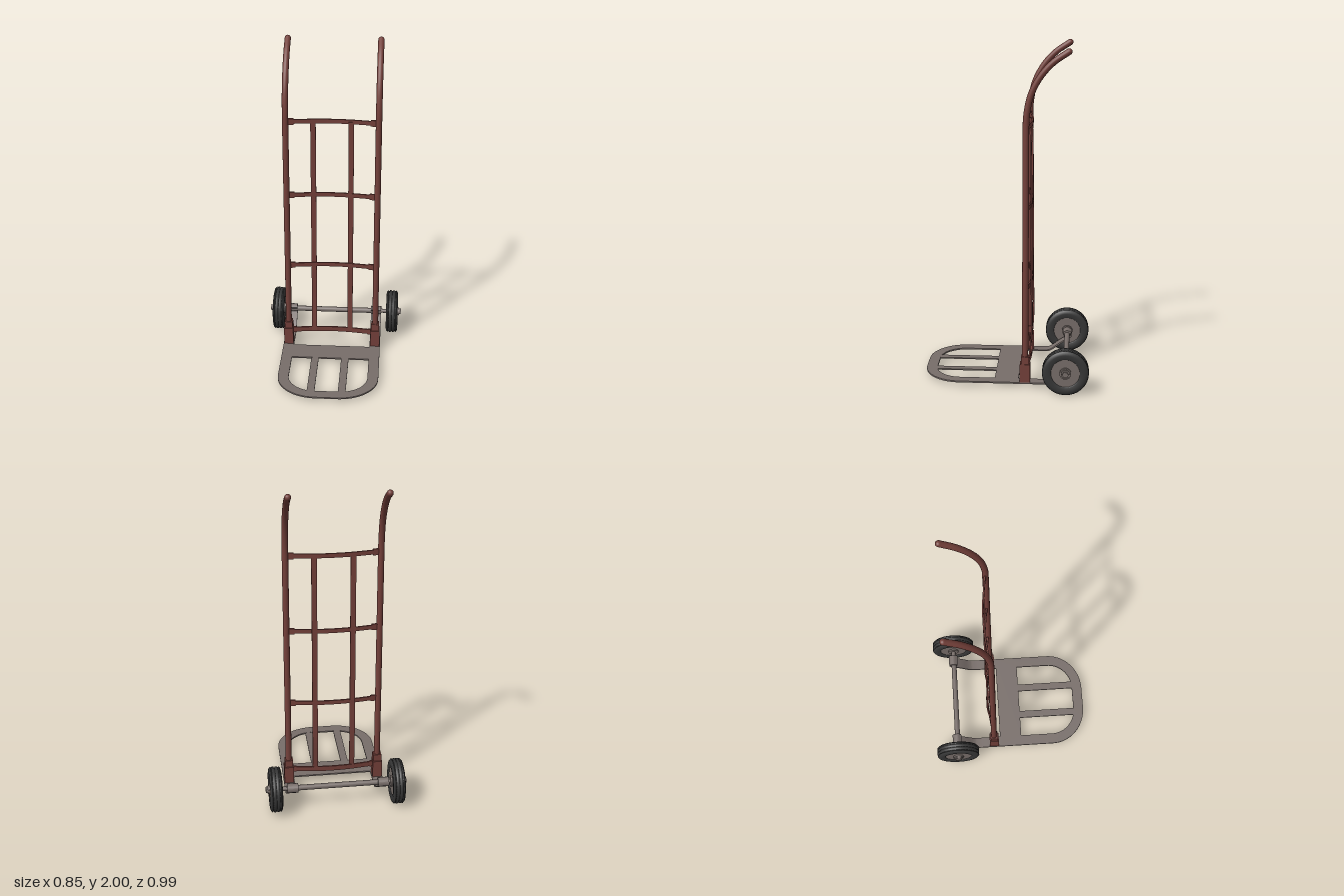
import * as THREE from 'three';

const paint = new THREE.MeshStandardMaterial({ name: 'red brown paint', color: 0x74403a });
const steel = new THREE.MeshStandardMaterial({ name: 'worn steel', color: 0x786e6a });
const rubber = new THREE.MeshStandardMaterial({ name: 'black rubber', color: 0x363636 });

const AXLE_Y = 0.137, AXLE_Z = -0.36, POST_X = 0.275, POST_Z = -0.12;
const UP = 'up', ACROSS = 'across';

function add(parent, name, geometry, material, x = 0, y = 0, z = 0) {
  const mesh = new THREE.Mesh(geometry, material);
  mesh.name = name;
  mesh.position.set(x, y, z);
  parent.add(mesh);
  return mesh;
}

// Extrudes a shape and lays it flat (shape = x, -z) or on edge (shape = z, y)
function slab(shape, depth, direction) {
  const g = new THREE.ExtrudeGeometry(shape, { depth, bevelEnabled: false, curveSegments: 10 });
  g.translate(0, 0, -depth / 2);
  return direction === UP ? g.rotateX(-Math.PI / 2) : g.rotateY(-Math.PI / 2);
}

// Bent flat strip that follows a smooth line through the given points
function strip(points, thickness, width, direction, segments = 24) {
  const curve = new THREE.SplineCurve(points.map(([a, b]) => new THREE.Vector2(a, b)));
  const one = [], two = [];
  for (let i = 0; i <= segments; i++) {
    const p = curve.getPoint(i / segments), t = curve.getTangent(i / segments);
    const n = new THREE.Vector2(-t.y, t.x).multiplyScalar(thickness / 2);
    one.push(p.clone().add(n));
    two.unshift(p.clone().sub(n));
  }
  return slab(new THREE.Shape([...one, ...two]), width, direction);
}

// Cylinder lying along x
function rod(radius, length, sides = 24) {
  return new THREE.CylinderGeometry(radius, radius, length, sides).rotateZ(Math.PI / 2);
}

// Adds one side of a rounded U outline
function roundedU(path, half, front, back, rx, rz) {
  path.moveTo(-half, -back);
  path.lineTo(-half, -(front - rz));
  path.absellipse(-half + rx, -(front - rz), rx, rz, Math.PI, Math.PI * 1.5, false);
  path.lineTo(half - rx, -front);
  path.absellipse(half - rx, -(front - rz), rx, rz, Math.PI * 1.5, Math.PI * 2, false);
  path.lineTo(half, -back);
  path.closePath();
  return path;
}

function buildToePlate() {
  const plate = new THREE.Group();
  plate.name = 'toePlate';
  const y = 0.029, t = 0.009;
  // U-shaped rim: the opening and the wide rear plate together
  const rim = roundedU(new THREE.Shape(), 0.3075, 0.49, -0.08, 0.24, 0.22);
  rim.holes.push(roundedU(new THREE.Path(), 0.2415, 0.425, 0.062, 0.165, 0.155));
  add(plate, 'plateRim', slab(rim, t, UP), steel, 0, y, 0);
  for (const x of [-0.095, 0.0925])
    add(plate, 'plateSlat', new THREE.BoxGeometry(0.046, t - 0.001, 0.39), steel, x, y, 0.243);
  // Arms running back and bending up around the axle
  const arm = [[-0.07, y], [-0.15, y], [-0.225, y], [-0.26, 0.038], [-0.31, 0.075],
    [-0.365, 0.112], [-0.386, 0.13], [-0.383, 0.152], [-0.36, 0.162], [-0.337, 0.15]];
  for (const s of [-1, 1]) {
    add(plate, 'axleArm', strip(arm, t, 0.066, ACROSS, 48), steel, s * 0.2745);
    add(plate, 'axleSleeve', rod(0.021, 0.06), steel, s * 0.2745, AXLE_Y, AXLE_Z);
  }
  return plate;
}

function buildFrame() {
  const frame = new THREE.Group();
  frame.name = 'frame';
  const line = [[0.035, -0.12], [0.6, -0.12], [1.2, -0.12], [1.5, -0.12], [1.62, -0.123],
    [1.74, -0.148], [1.84, -0.2], [1.92, -0.272], [1.979, -0.358]];
  const curve = new THREE.CatmullRomCurve3(line.map(([y, z]) => new THREE.Vector3(0, y, z)));
  const postGeometry = new THREE.TubeGeometry(curve, 80, 0.0185, 16);
  const capGeometry = new THREE.SphereGeometry(0.0185, 16, 10);

  for (const s of [-1, 1]) {
    const x = s * POST_X;
    add(frame, 'post', postGeometry, paint, x);
    add(frame, 'handleEnd', capGeometry, paint, x, 1.979, -0.358);
    // Socket with a taller collar at the foot of the post
    add(frame, 'socket', new THREE.BoxGeometry(0.058, 0.115, 0.06), paint, x, 0.087, POST_Z);
    add(frame, 'socketCollar', new THREE.BoxGeometry(0.05, 0.05, 0.046), paint, x, 0.165, POST_Z);
  }

  // Bowed cross bars with flattened ends
  const bow = [[-0.27, 0.122], [-0.11, 0.142], [0, 0.147], [0.11, 0.142], [0.27, 0.122]];
  for (const [y, h] of [[0.12, 0.032], [0.59, 0.026], [1.07, 0.026], [1.545, 0.026]]) {
    add(frame, 'crossBar', strip(bow, 0.009, h, UP), paint, 0, y, 0);
    for (const s of [-1, 1]) {
      const tab = add(frame, 'crossBarEnd', new THREE.BoxGeometry(0.038, 0.038, 0.011), paint,
        s * 0.246, y, -0.125);
      tab.rotation.y = s * -0.12;
    }
  }

  // Upright straps, slightly wavy
  const wave = [[-0.138, 0.11], [-0.152, 0.3], [-0.152, 0.45], [-0.148, 0.59], [-0.148, 0.83],
    [-0.146, 1.07], [-0.144, 1.3], [-0.138, 1.545]];
  for (const s of [-1, 1])
    add(frame, 'uprightStrap', strip(wave, 0.009, 0.032, ACROSS, 32), paint, s * 0.113);
  return frame;
}

function buildWheel(side) {
  const wheel = new THREE.Group();
  wheel.name = side > 0 ? 'leftWheel' : 'rightWheel';
  wheel.position.set(side * 0.3675, AXLE_Y, AXLE_Z);

  // Tyre with rounded shoulders and grooves in the tread
  const profile = [[0.084, -0.03], [0.09, -0.036], [0.112, -0.0375], [0.126, -0.034], [0.133, -0.027]];
  for (const g of [-0.02, 0, 0.02])
    profile.push([0.136, g - 0.005], [0.131, g - 0.002], [0.131, g + 0.002], [0.136, g + 0.005]);
  profile.push([0.133, 0.027], [0.126, 0.034], [0.112, 0.0375], [0.09, 0.036], [0.084, 0.03]);
  const tyre = new THREE.LatheGeometry(profile.map(([r, a]) => new THREE.Vector2(r, a)), 48);
  add(wheel, 'tyre', tyre.rotateZ(Math.PI / 2), rubber);

  add(wheel, 'wheelDisc', rod(0.087, 0.058, 40), steel);
  add(wheel, 'hub', rod(0.034, 0.078), steel);
  add(wheel, 'hubWasher', rod(0.026, 0.01), steel, side * 0.042);
  add(wheel, 'axleNut', rod(0.019, 0.022, 6), steel, side * 0.047);
  return wheel;
}

export function createModel() {
  const model = new THREE.Group();
  model.name = 'handTruck';

  // Frame and toe plate sit slightly off the middle of the axle
  const body = new THREE.Group();
  body.name = 'body';
  body.position.x = -0.0105;
  body.add(buildToePlate(), buildFrame());
  model.add(body);

  add(model, 'axle', rod(0.0165, 0.6), steel, 0, AXLE_Y, AXLE_Z);
  add(model, 'axleRod', rod(0.013, 0.85), steel, 0, AXLE_Y, AXLE_Z);
  model.add(buildWheel(1), buildWheel(-1));
  return model;
}
